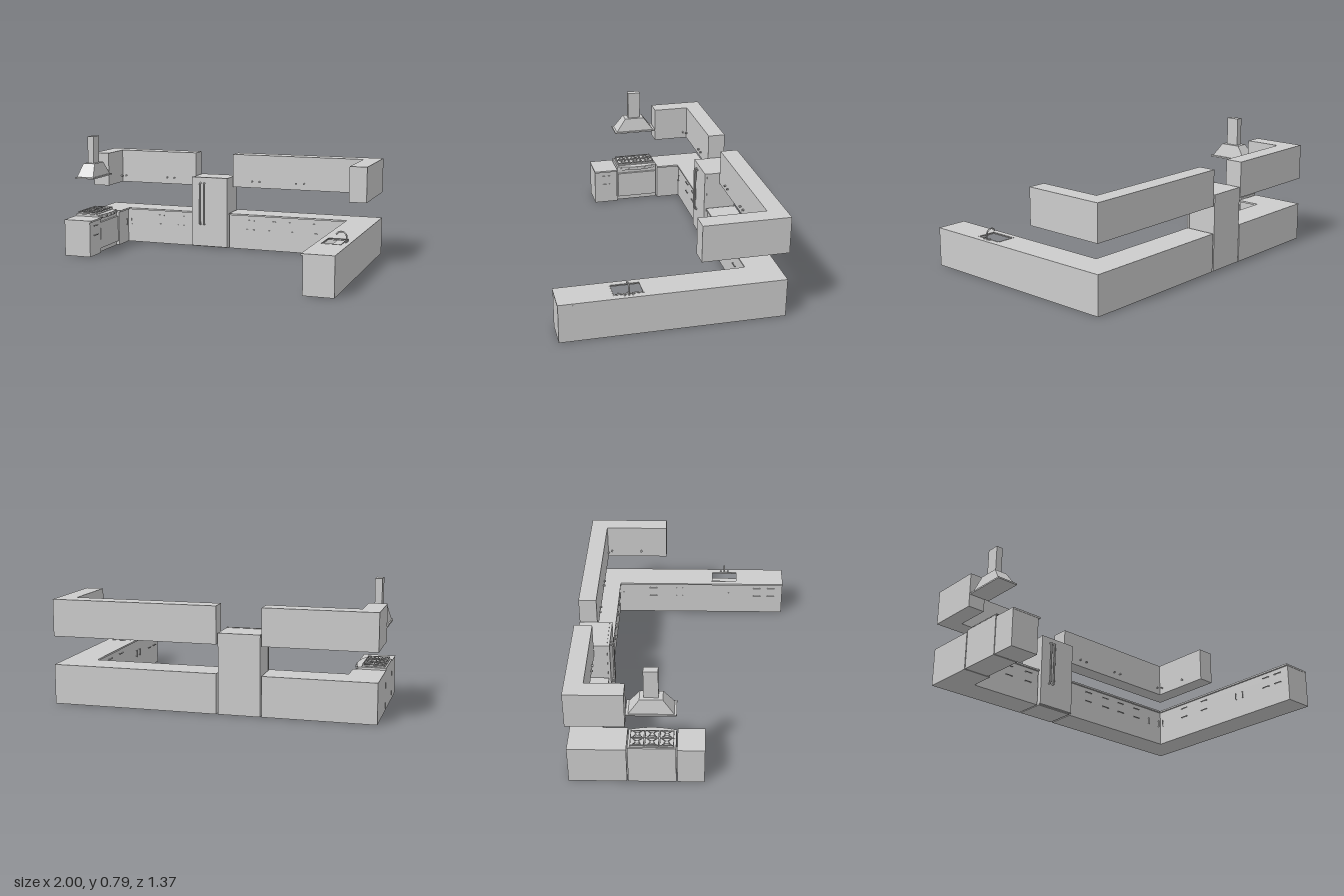
import * as THREE from 'three';

const mat = new THREE.MeshStandardMaterial({ color: 0xcccccc });
const matFlat = new THREE.MeshStandardMaterial({ color: 0xcccccc, flatShading: true });

export function createModel() {
  const root = new THREE.Group();

  const add = (name, geo, m = mat) => {
    const mesh = new THREE.Mesh(geo, m);
    mesh.name = name;
    root.add(mesh);
    return mesh;
  };
  // Box given by its limits on each axis
  const box = (name, x0, x1, y0, y1, z0, z1) => {
    const mesh = add(name, new THREE.BoxGeometry(x1 - x0, y1 - y0, z1 - z0));
    mesh.position.set((x0 + x1) / 2, (y0 + y1) / 2, (z0 + z1) / 2);
    return mesh;
  };
  // Floor plan outline [x, z] raised from y0 to y1, with an optional hole
  const toPlan = (pts) => pts.map(([x, z]) => new THREE.Vector2(x, -z));
  const slab = (name, pts, y0, y1, hole) => {
    const shape = new THREE.Shape(toPlan(pts));
    if (hole) shape.holes.push(new THREE.Path(toPlan(hole)));
    const geo = new THREE.ExtrudeGeometry(shape, { depth: y1 - y0, bevelEnabled: false });
    geo.rotateX(-Math.PI / 2).translate(0, y0, 0);
    return add(name, geo);
  };
  // Tube through points
  const tube = (name, pts, r, n = 8) => add(name, new THREE.TubeGeometry(
    new THREE.CatmullRomCurve3(pts.map((p) => new THREE.Vector3(...p))), n, r, 8));

  const BACK = -0.685, TOP = 0.247, BODY = 0.236;
  // L-shaped run: s is the side, d the depth, from x = inner to the wall, ending at z = end
  const ell = (s, inner, end, d) => [
    [inner, BACK], [s, BACK], [s, end], [s * (1 - d), end], [s * (1 - d), BACK + d], [inner, BACK + d],
  ];

  // Base cabinets and countertops
  const sinkHole = [[0.838, 0.175], [0.957, 0.175], [0.957, 0.353], [0.838, 0.353]];
  slab('leftBaseCabinet', ell(-1, -0.315, -0.335, 0.188), 0, BODY);
  slab('leftCountertop', ell(-1, -0.315, -0.335, 0.2), BODY, TOP);
  slab('rightBaseCabinetLower', ell(1, -0.038, 0.683, 0.188), 0, 0.17);
  slab('rightBaseCabinetUpper', ell(1, -0.038, 0.683, 0.188), 0.17, BODY, sinkHole);
  slab('rightCountertop', ell(1, -0.038, 0.685, 0.2), BODY, TOP, sinkHole);
  box('endBaseCabinet', -1, -0.812, 0, BODY, -0.035, 0.128);
  box('endCountertop', -1, -0.8, BODY, TOP, -0.035, 0.13);

  // Wall cabinets
  slab('leftWallCabinet', ell(-1, -0.315, -0.335, 0.113), 0.424, 0.654);
  slab('rightWallCabinet', ell(1, -0.038, -0.155, 0.113), 0.424, 0.654);

  // Bar handles: on the back run (facing +z) and on the side runs (facing the middle)
  const faceZ = BACK + 0.188, out = 0.01;
  const backBar = (x, y, w, h) => {
    box('backHandle', x - w / 2, x + w / 2, y - h / 2, y + h / 2, faceZ + out - 0.004, faceZ + out);
    for (const k of [-0.4, 0.4])
      box('handlePost', x + k * w * (w > h) - 0.002, x + k * w * (w > h) + 0.002,
        y + k * h * (h > w) - 0.002, y + k * h * (h > w) + 0.002, faceZ, faceZ + out);
  };
  const sideBar = (s, z, y, w, h) => {
    const f = s * 0.812, o = f - s * out, i = f - s * (out - 0.004);
    box('sideHandle', Math.min(o, i), Math.max(o, i), y - h / 2, y + h / 2, z - w / 2, z + w / 2);
    for (const k of [-0.4, 0.4])
      box('handlePost', Math.min(f, o), Math.max(f, o), y + k * h * (h > w) - 0.002,
        y + k * h * (h > w) + 0.002, z + k * w * (w > h) - 0.002, z + k * w * (w > h) + 0.002);
  };
  const rows = [0.205, 0.14];
  for (const y of rows) {
    for (const x of [-0.555, -0.4, 0.12, 0.275, 0.417, 0.57]) backBar(x, y, 0.055, 0.005);
    sideBar(-1, 0.047, y, 0.055, 0.005);
    for (const z of [-0.25, -0.06, 0.5, 0.6]) sideBar(1, z, y, 0.055, 0.005);
  }
  for (const x of [-0.785, 0.69, 0.79]) backBar(x, 0.147, 0.005, 0.048);
  sideBar(-1, -0.465, 0.147, 0.005, 0.048);
  for (const z of [-0.465, 0.235, 0.295]) sideBar(1, z, 0.147, 0.005, 0.048);

  // Wall cabinet knobs
  const knob = (name, x, y, z, dx, dz, r = 0.007, len = 0.014) => {
    const geo = new THREE.CylinderGeometry(r, r * 0.7, len, 12);
    geo.translate(0, len / 2, 0);
    const mesh = add(name, geo);
    mesh.quaternion.setFromUnitVectors(new THREE.Vector3(0, 1, 0), new THREE.Vector3(dx, 0, dz));
    mesh.position.set(x, y, z);
  };
  for (const x of [-0.857, -0.535, -0.48, 0.105, 0.16, 0.425, 0.48, 0.855])
    knob('cabinetKnob', x, 0.469, BACK + 0.113, 0, 1);
  knob('cabinetKnob', -0.887, 0.469, -0.545, 1, 0);
  for (const z of [-0.545, -0.335]) knob('cabinetKnob', 0.887, 0.469, z, -1, 0);

  // Refrigerator
  box('refrigeratorBody', -0.307, -0.049, 0, 0.493, BACK, -0.49);
  box('refrigeratorDoor', -0.309, -0.047, 0.006, 0.495, -0.489, -0.473);
  for (const x of [-0.243, -0.214])
    tube('refrigeratorHandle', [[x, 0.163, -0.473], [x, 0.165, -0.459], [x, 0.18, -0.457],
      [x, 0.31, -0.457], [x, 0.44, -0.457], [x, 0.453, -0.459], [x, 0.455, -0.473]], 0.006, 40);

  // Stove with a bowed control panel
  const z0 = -0.328, z1 = -0.041, zc = (z0 + z1) / 2;
  const bow = (z) => -0.828 + 0.022 * (1 - ((z - zc) / (z1 - zc)) ** 2);
  const outline = [[-1, z0]];
  for (let i = 0; i <= 12; i++) {
    const z = z0 + (z1 - z0) * i / 12;
    outline.push([bow(z), z]);
  }
  outline.push([-1, z1]);
  box('stoveBody', -1, -0.83, 0, 0.24, z0, z1);
  box('ovenDoor', -0.83, -0.815, 0.03, 0.21, z0 + 0.003, z1 - 0.003);
  slab('stoveTop', outline, 0.235, 0.259);
  box('cooktop', -0.99, -0.85, 0.259, 0.264, z0 + 0.01, z1 - 0.01);
  for (const z of [-0.3, -0.242, -0.185, -0.127, -0.069])
    knob('stoveKnob', bow(z) - 0.002, 0.247, z, 1, 0, 0.007, 0.01);

  // Burners and grates
  for (let j = 0; j < 3; j++) {
    const z = zc + (j - 1) * 0.088;
    for (const x of [-0.955, -0.885]) {
      const burner = add('burner', new THREE.CylinderGeometry(0.013, 0.018, 0.009, 16));
      burner.position.set(x, 0.268, z);
      for (let k = 0; k < 4; k++) {
        const arm = add('grateArm', new THREE.BoxGeometry(0.026, 0.004, 0.004));
        const a = Math.PI / 4 + k * Math.PI / 2;
        arm.position.set(x + Math.cos(a) * 0.024, 0.275, z - Math.sin(a) * 0.024);
        arm.rotation.y = a;
      }
    }
    for (const e of [-0.04, 0.04]) {
      box('grateBar', -0.987, -0.852, 0.271, 0.276, z + e - 0.002, z + e + 0.002);
      for (const x of [-0.985, -0.855]) box('grateFoot', x - 0.002, x + 0.002, 0.262, 0.272, z + e - 0.002, z + e + 0.002);
    }
    for (const x of [-0.985, -0.92, -0.855]) box('grateCross', x - 0.002, x + 0.002, 0.271, 0.276, z - 0.04, z + 0.04);
  }

  // Range hood: rim, tapered canopy and chimney
  box('hoodRim', -1, -0.86, 0.505, 0.515, -0.33, -0.036);
  const canopy = new THREE.BoxGeometry(1, 1, 1);
  const p = canopy.attributes.position;
  for (let i = 0; i < p.count; i++) {
    const up = p.getY(i) > 0;
    p.setXYZ(i, -0.931 + p.getX(i) * (up ? 0.085 : 0.122), up ? 0.603 : 0.515,
      -0.182 + p.getZ(i) * (up ? 0.135 : 0.265));
  }
  canopy.computeVertexNormals();
  add('hoodCanopy', canopy, matFlat);
  box('hoodChimney', -0.952, -0.908, 0.603, 0.788, -0.226, -0.14);

  // Sink rim, faucet and taps
  for (const x of [0.838, 0.957]) box('sinkRim', x - 0.003, x + 0.003, TOP - 0.004, TOP + 0.002, 0.172, 0.356);
  for (const z of [0.175, 0.353]) box('sinkRim', 0.838, 0.957, TOP - 0.004, TOP + 0.002, z - 0.003, z + 0.003);
  const drain = add('sinkDrain', new THREE.CylinderGeometry(0.011, 0.011, 0.003, 16));
  drain.position.set(0.9, 0.1715, 0.264);
  const spout = [[0.971, TOP, 0.264], [0.971, 0.265, 0.264]];
  for (let i = 0; i <= 6; i++) {
    const a = i * Math.PI / 7;
    spout.push([0.937 + Math.cos(a) * 0.034, 0.276 + Math.sin(a) * 0.034, 0.264]);
  }
  tube('faucet', spout, 0.005, 32);
  for (const z of [0.24, 0.264, 0.289]) {
    const base = add('tapBase', new THREE.CylinderGeometry(0.004, 0.006, 0.01, 12));
    base.position.set(0.971, TOP + 0.004, z);
    if (z !== 0.264) box('tapHandle', 0.962, 0.978, TOP + 0.006, TOP + 0.011, z - 0.005, z + 0.005);
  }
  return root;
}
